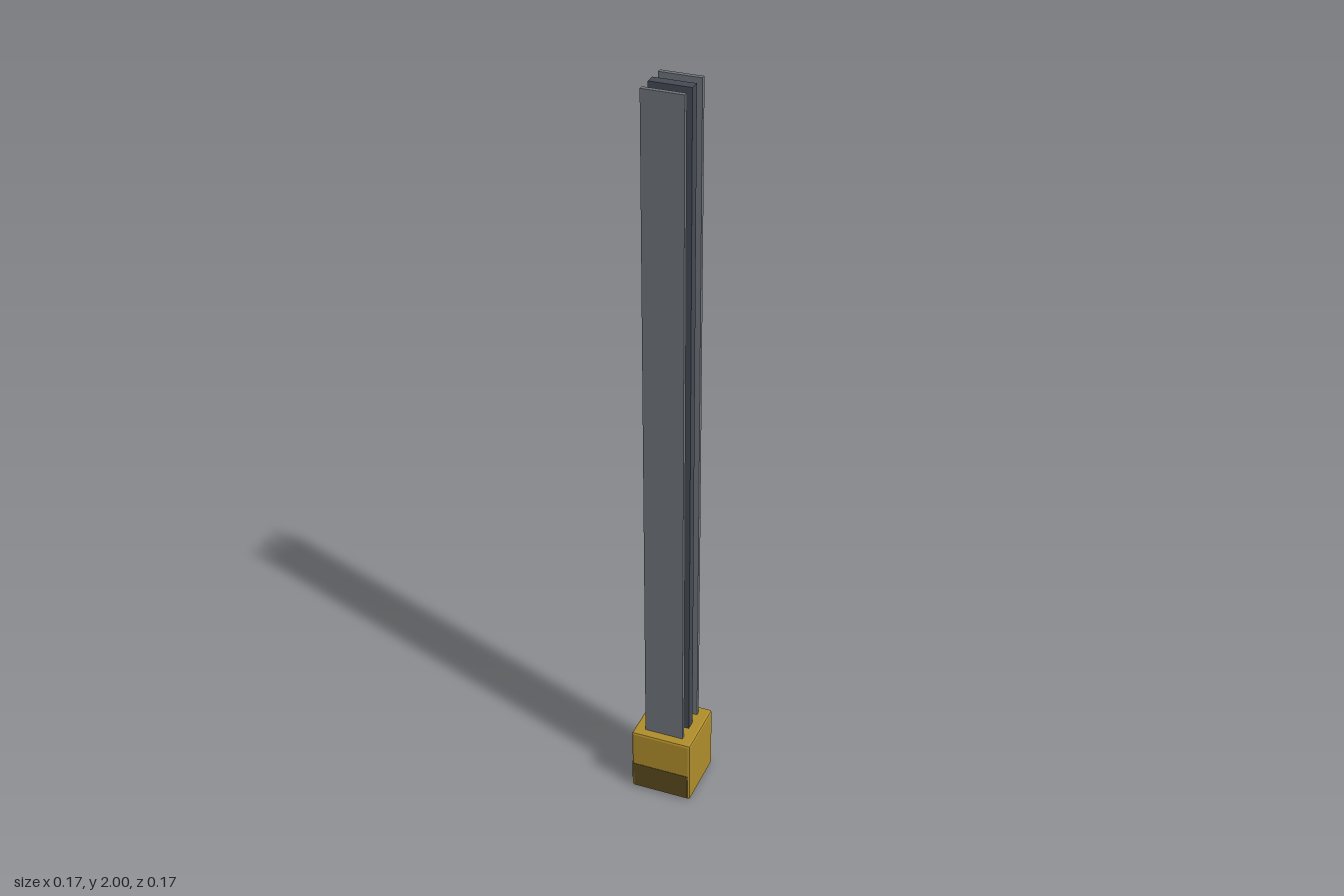
import * as THREE from 'three';
import { RoundedBoxGeometry } from 'three/addons/geometries/RoundedBoxGeometry.js';

function material(name, color) {
  const m = new THREE.MeshStandardMaterial({ color });
  m.name = name;
  return m;
}

export function createModel() {
  const gold = material('gold', 0xb08e2c);
  const darkBronze = material('darkBronze', 0x5c4a20);
  const steel = material('steel', 0x70767d);
  const darkSteel = material('darkSteel', 0x454a55);

  const model = new THREE.Group();
  model.name = 'bladedPost';

  const add = (name, geometry, mat, x, y, z) => {
    const mesh = new THREE.Mesh(geometry, mat);
    mesh.name = name;
    mesh.position.set(x, y, z);
    model.add(mesh);
    return mesh;
  };

  const width = 0.168, height = 0.186, bevel = 0.007;

  // Base block with flat chamfers on every edge
  const block = new RoundedBoxGeometry(width, height, width, 1, bevel);
  block.computeVertexNormals();
  add('baseBlock', block, gold, 0, height / 2, 0);

  // Dark lower panels on the front and on the model's right side
  const panelWidth = width - 2 * bevel, panelHeight = 0.073, panelY = 0.0435;
  add('frontPanel', new THREE.BoxGeometry(panelWidth, panelHeight, 0.002), darkBronze, 0, panelY, width / 2);
  add('sidePanel', new THREE.BoxGeometry(0.002, panelHeight, panelWidth), darkBronze, -width / 2, panelY, 0);

  // Outer blades rise from the block
  const bladeWidth = 0.106, top = 2, foot = 0.17;
  for (const [name, z] of [['frontBlade', 0.054], ['backBlade', -0.054]]) {
    add(name, new THREE.BoxGeometry(bladeWidth, top - foot, 0.012), steel, 0, (top + foot) / 2, z);
  }

  // Thicker core blade passes through the block and shows underneath
  add('coreBlade', new THREE.BoxGeometry(bladeWidth, top + 0.001, 0.027), darkSteel, 0, (top - 0.001) / 2, 0);

  // Stand exactly on the ground
  model.children.forEach((part) => { part.position.y += 0.001; });
  return model;
}
